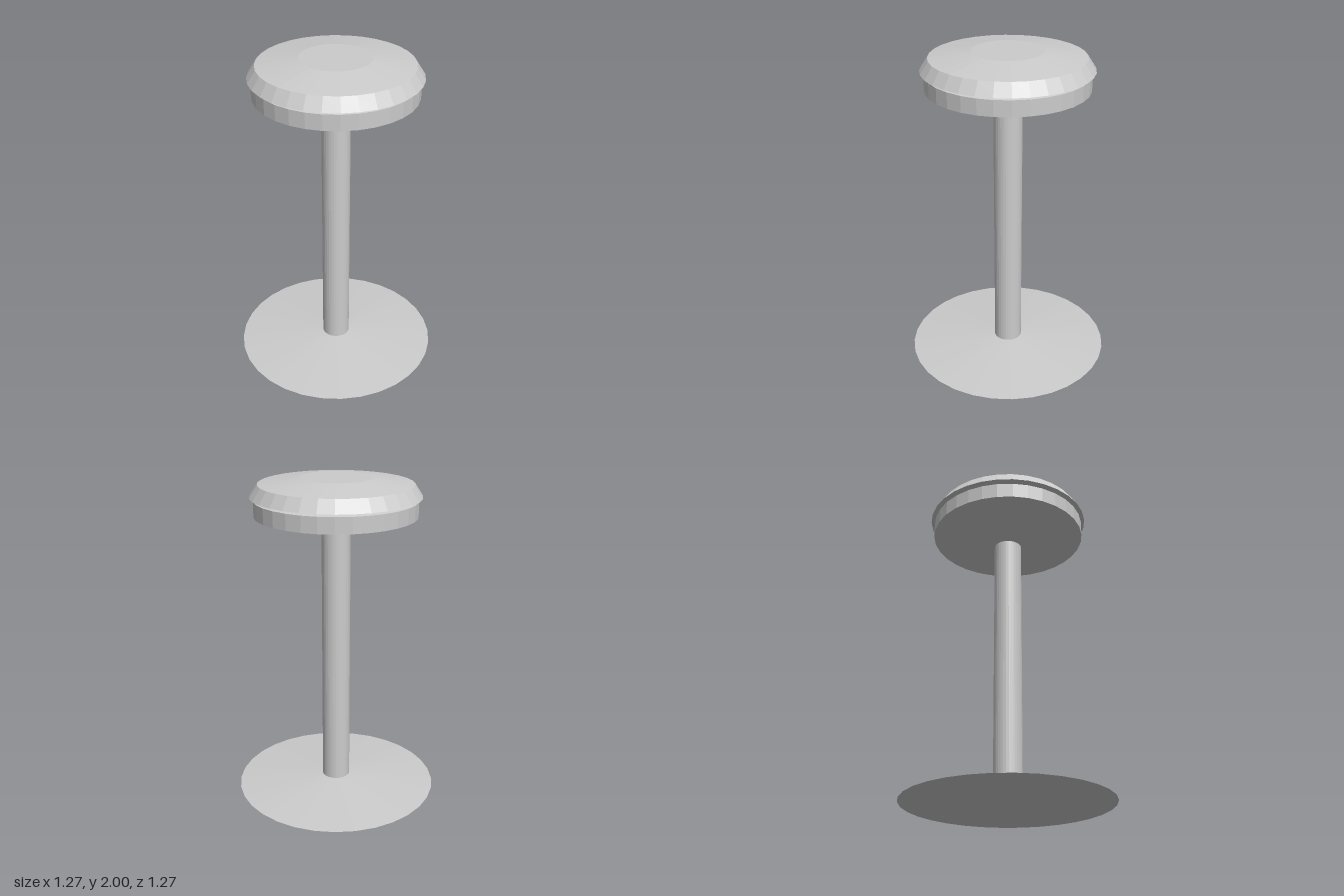
import * as THREE from 'three';

const SIDES = 32;
const material = new THREE.MeshStandardMaterial({ color: 0xcccccc, flatShading: true });

// Turned part from [radius, height] pairs, listed bottom to top
function turned(name, profile) {
  const points = profile.map(([r, y]) => new THREE.Vector2(r, y));
  const mesh = new THREE.Mesh(new THREE.LatheGeometry(points, SIDES), material);
  mesh.name = name;
  return mesh;
}

export function createModel() {
  const stool = new THREE.Group();
  stool.name = 'stool';

  // Shallow conical foot, flat underneath
  stool.add(turned('base', [[0, 0], [0.633, 0], [0.087, 0.045], [0, 0.045]]));

  // Straight column from foot to seat
  const column = new THREE.Mesh(new THREE.CylinderGeometry(0.087, 0.087, 1.69, SIDES), material);
  column.name = 'column';
  column.position.y = 0.03 + 1.69 / 2;
  stool.add(column);

  // Seat pan with sloped underside and slightly chamfered top
  stool.add(turned('seatPan', [
    [0, 1.712], [0.087, 1.712], [0.488, 1.777], [0.488, 1.872], [0.41, 1.889], [0, 1.889],
  ]));

  // Overhanging cushion with bevelled rim and flat centre
  stool.add(turned('cushion', [
    [0, 1.886], [0.41, 1.886], [0.51, 1.89], [0.462, 1.964], [0.212, 2], [0, 2],
  ]));

  return stool;
}
